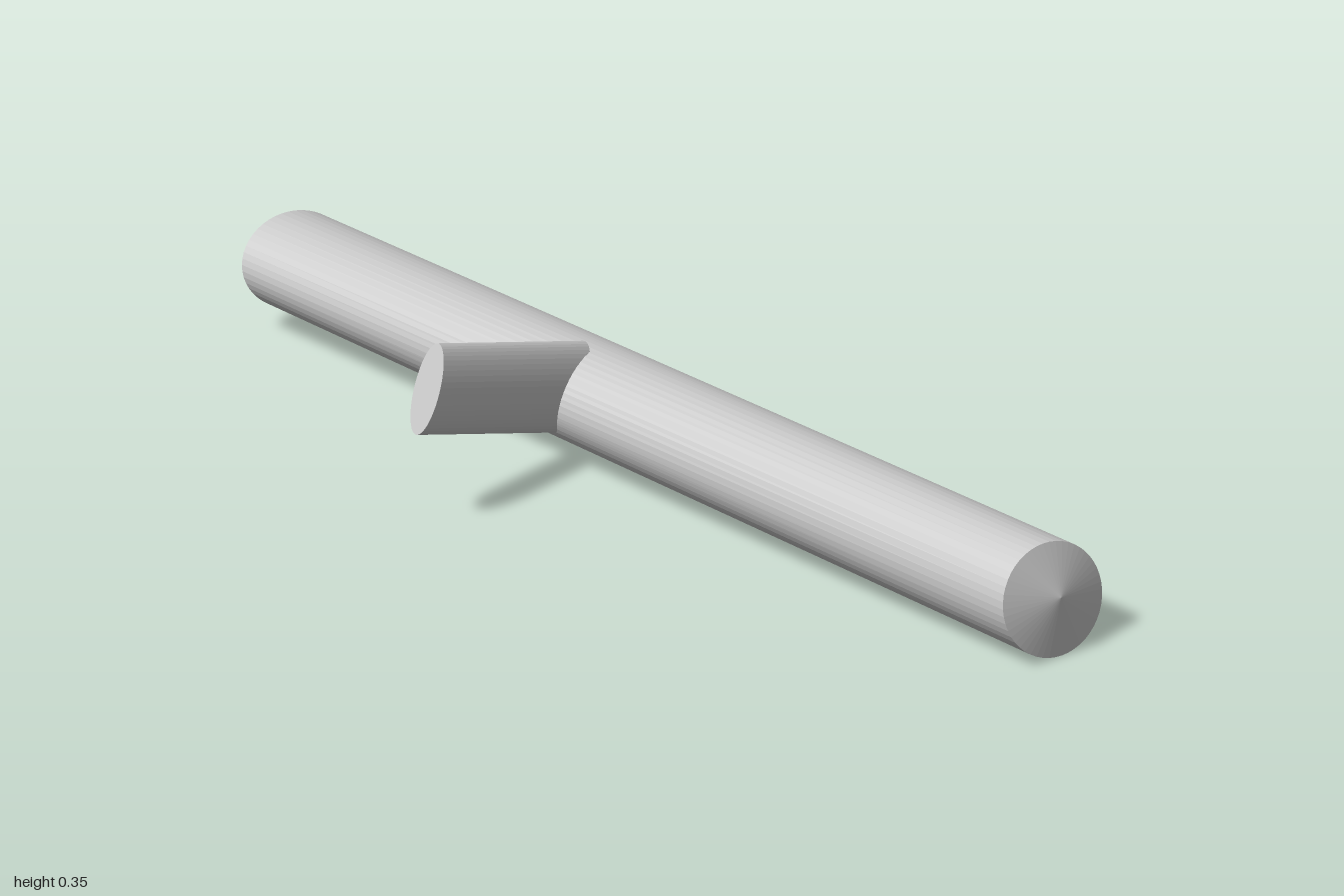
import * as THREE from 'three';

const SIDES = 48;
const material = new THREE.MeshStandardMaterial({ color: 0xcccccc, flatShading: true, side: THREE.DoubleSide });

function addPart(group, name, geometry) {
  geometry.computeVertexNormals();
  const mesh = new THREE.Mesh(geometry, material);
  mesh.name = name;
  group.add(mesh);
}

// Trunk ends: skewed ellipse (centre, radii, skew), slanted cut and cap centre
const frontEnd = { cx: 0.175, cy: 0.109, a: 0.117, b: 0.109, skew: 0.14, z: 0.974, slope: -0.08, apex: [0.172, 0.122, 1.0] };
const backEnd = { cx: 0.176, cy: 0.115, a: 0.122, b: 0.086, skew: 0.15, z: -0.982, slope: -0.2, apex: [0.176, 0.115, -0.955] };

function trunkGeometry() {
  const geo = new THREE.CylinderGeometry(1, 1, 2, SIDES, 1).rotateX(Math.PI / 2);
  const p = geo.attributes.position;
  for (let i = 0; i < p.count; i++) {
    const x = p.getX(i), y = p.getY(i);
    const e = p.getZ(i) > 0 ? frontEnd : backEnd;
    if (Math.hypot(x, y) < 0.5) {
      p.setXYZ(i, ...e.apex);
      continue;
    }
    const t = Math.atan2(y, x);
    const dy = e.b * Math.sin(t - e.skew);
    p.setXYZ(i, e.cx + e.a * Math.cos(t), e.cy + dy, e.z + e.slope * dy);
  }
  return geo;
}

// Elliptical limb from base to tip; u and w are the half axes of its section
function limbGeometry(base, tip, u, w) {
  const B = new THREE.Vector3(...base), T = new THREE.Vector3(...tip);
  const matrix = new THREE.Matrix4().makeBasis(
    new THREE.Vector3(...u), T.clone().sub(B), new THREE.Vector3(...w));
  matrix.setPosition(B);
  return new THREE.CylinderGeometry(1, 1, 1, SIDES, 1).translate(0, 0.5, 0).applyMatrix4(matrix);
}

export function createModel() {
  const group = new THREE.Group();
  group.name = 'log';
  addPart(group, 'trunk', trunkGeometry());
  // Flattened side branch
  addPart(group, 'branch', limbGeometry(
    [0.125, 0.142, -0.207], [-0.2725, 0.276, -0.155], [0.0275, 0.079, 0], [0, 0, 0.031]));
  // Short knot just breaking the underside
  addPart(group, 'knot', limbGeometry(
    [0.205, 0.12, -0.065], [0.243, 0.025, -0.065], [0.044, 0.018, 0], [0, 0, -0.066]));
  return group;
}
